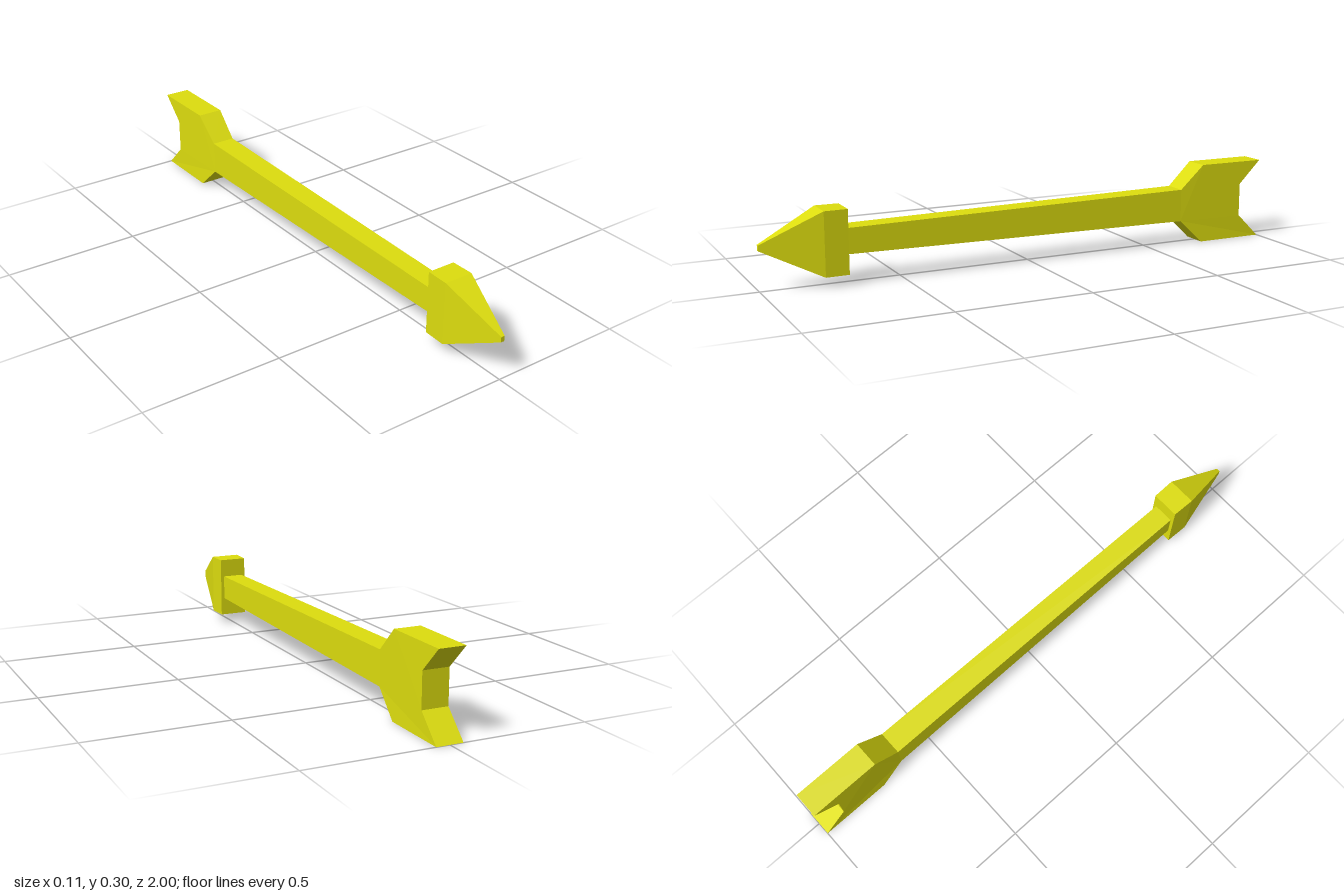
import * as THREE from 'three';

const CENTRE_Y = 0.152;

// Rectangular loft along z: each section is [z, halfWidth, halfHeight], back to front
function loft(sections) {
  const n = sections.length - 1;
  const box = new THREE.BoxGeometry(2, 2, n, 1, 1, n);
  const p = box.attributes.position;
  for (let i = 0; i < p.count; i++) {
    const [z, w, h] = sections[Math.round(p.getZ(i) + n / 2)];
    p.setXYZ(i, p.getX(i) * w, p.getY(i) * h, z);
  }
  const geometry = box.toNonIndexed();
  geometry.computeVertexNormals();
  return geometry;
}

// Swallow-tailed fletching: side outline extruded across x, narrowing into the shaft
function fletchingGeometry() {
  const half = [[-0.64, 0.062], [-0.735, 0.152], [-1, 0.152], [-0.91, 0.063]];
  const outline = [...half, ...half.map(([z, y]) => [z, -y]).reverse()];
  const shape = new THREE.Shape(outline.map(([z, y]) => new THREE.Vector2(-z, y)));
  const geometry = new THREE.ExtrudeGeometry(shape, { depth: 0.096, bevelEnabled: false });
  geometry.translate(0, 0, -0.048).rotateY(Math.PI / 2);
  const p = geometry.attributes.position;
  for (let i = 0; i < p.count; i++) {
    if (p.getZ(i) > -0.7) p.setX(i, Math.sign(p.getX(i)) * 0.044);
  }
  geometry.computeVertexNormals();
  return geometry;
}

export function createModel() {
  const group = new THREE.Group();
  group.name = 'arrow';
  const yellow = new THREE.MeshStandardMaterial({ color: 0xdddd0e });
  yellow.name = 'yellow';

  const add = (name, geometry) => {
    const mesh = new THREE.Mesh(geometry, yellow);
    mesh.name = name;
    mesh.position.y = CENTRE_Y;
    group.add(mesh);
  };

  // Shaft, slightly thicker toward the tail
  add('shaft', loft([[-0.64, 0.044, 0.062], [0.7, 0.039, 0.046]]));

  // Wedge head with a short straight collar and a blunt tip
  add('arrowhead', loft([[0.7, 0.052, 0.115], [0.785, 0.054, 0.115], [1, 0.007, 0.01]]));

  add('fletching', fletchingGeometry());
  return group;
}
